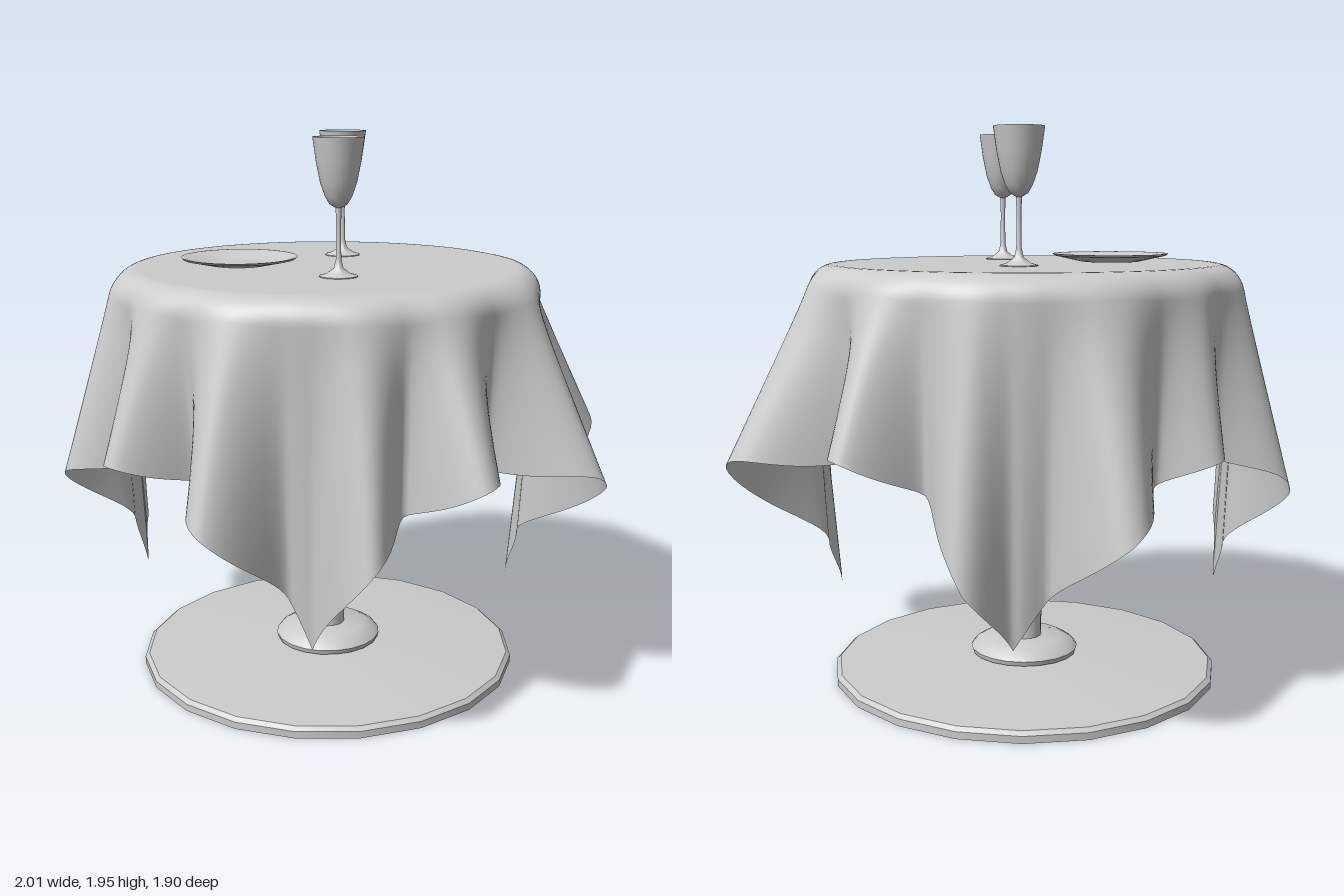
import * as THREE from 'three';
import { toCreasedNormals } from 'three/addons/utils/BufferGeometryUtils.js';

const TOP = 1.49;               // height of the cloth surface
const AXIS = [-0.05, -0.025];   // x, z of the table's axis
const RAD = Math.PI / 180;

const material = new THREE.MeshStandardMaterial({ color: 0xcccccc, side: THREE.DoubleSide });

function lathe(name, profile, segments, x, y, z, crease = 35) {
  const points = profile.map(([r, h]) => new THREE.Vector2(r, h));
  const geometry = toCreasedNormals(new THREE.LatheGeometry(points, segments), crease * RAD);
  const mesh = new THREE.Mesh(geometry, material);
  mesh.name = name;
  mesh.position.set(x, y, z);
  return mesh;
}

// Ridges, hollows and corners of the hem: direction in degrees (from +x towards +z),
// radius, and direction on the flat square cloth (corners at 45 + 90 n)
const HEM = [
  [-22, 0.67, -45], [-13, 0.71, -37], [3, 1.038, -24.6], [18, 0.73, -5], [33, 0.965, 12],
  [44, 0.74, 22], [55, 0.925, 33], [67, 0.725, 45], [73, 0.72, 51], [87, 0.96, 64],
  [100, 0.71, 78], [112, 0.925, 90], [124, 0.73, 102], [137, 0.94, 114], [151, 0.72, 127],
  [160, 0.70, 135], [167, 0.72, 140.5], [181, 0.937, 152], [195, 0.74, 171], [206, 0.855, 186],
  [217, 0.73, 198], [232, 0.95, 211], [246, 0.74, 220], [254, 0.775, 225], [263, 0.915, 232],
  [276, 0.74, 250], [288, 0.95, 263], [301, 0.72, 279], [317, 1.05, 294], [331, 0.71, 308.5],
  [338, 0.67, 315],
];

// Hem radius and cloth direction between two neighbouring stops
function hemAt(deg) {
  const i = Math.max(1, HEM.findIndex((stop) => stop[0] >= deg));
  const [d0, r0, m0] = HEM[i - 1], [d1, r1, m1] = HEM[i];
  const t = (deg - d0) / (d1 - d0);
  const high = Math.max(r0, r1), low = Math.min(r0, r1);
  const nearRidge = Math.cos((r0 > r1 ? t : 1 - t) * Math.PI / 2);
  return { radius: low + (high - low) * nearRidge ** 1.6, direction: m0 + (m1 - m0) * t };
}

// Square cloth draped over a round top, as rings of a polar grid
function clothGeometry() {
  const SEG = 360, TOP_RINGS = 5, BEND_RINGS = 10, HANG_RINGS = 24;
  const flat = 0.67, bend = 0.14, halfSide = 1.325;
  const rings = TOP_RINGS + BEND_RINGS + HANG_RINGS;
  const positions = [0, TOP, 0], index = [];

  for (let i = 0; i < SEG; i++) {
    const deg = HEM[0][0] + i;
    const a = deg * RAD;
    const { radius, direction } = hemAt(deg);
    // distance to the edge of the square along this direction
    const q = direction * RAD;
    const reach = halfSide / Math.max(Math.abs(Math.cos(q)), Math.abs(Math.sin(q)));
    const hang = reach - flat - bend;
    const edge = flat + (bend * 2) / Math.PI;
    const steep = Math.acos((radius - edge) / hang);
    let r = 0, y = TOP;
    for (let k = 1; k <= rings; k++) {
      const b = k - TOP_RINGS;
      const step = b <= 0 ? flat / TOP_RINGS : b <= BEND_RINGS ? bend / BEND_RINGS : hang / HANG_RINGS;
      const slope = b <= 0 ? 0 : steep * Math.min(1, (b - 0.5) / BEND_RINGS);
      r += Math.cos(slope) * step;
      y -= Math.sin(slope) * step;
      positions.push(r * Math.cos(a), y, r * Math.sin(a));
    }
  }
  const id = (i, k) => (k === 0 ? 0 : 1 + (i % SEG) * rings + k - 1);
  for (let i = 0; i < SEG; i++) {
    for (let k = 0; k < rings; k++) {
      if (k > 0) index.push(id(i, k), id(i + 1, k), id(i, k + 1));
      index.push(id(i + 1, k), id(i + 1, k + 1), id(i, k + 1));
    }
  }
  const geometry = new THREE.BufferGeometry();
  geometry.setAttribute('position', new THREE.Float32BufferAttribute(positions, 3));
  geometry.setIndex(index);
  geometry.computeVertexNormals();
  return geometry;
}

export function createModel() {
  const model = new THREE.Group();
  model.name = 'dressedTable';
  const [cx, cz] = AXIS;

  // Table: stepped base plate, foot ring, turned column, round top
  const table = new THREE.Group();
  table.name = 'table';
  table.add(
    lathe('basePlate', [[0, 0], [0.695, 0], [0.695, 0.025], [0.68, 0.038], [0.65, 0.04], [0.2, 0.062], [0, 0.062]], 20, cx, 0, cz, 20),
    lathe('footRing', [[0.16, 0.06], [0.19, 0.068], [0.195, 0.085], [0.18, 0.102], [0.14, 0.124], [0, 0.126]], 20, cx, 0, cz),
    lathe('column', [
      [0.062, 0.12], [0.065, 0.3], [0.062, 0.5], [0.055, 0.7], [0.052, 0.83],
      [0.075, 0.86], [0.09, 0.89], [0.085, 0.92], [0.068, 0.95],
      [0.075, 1.02], [0.095, 1.12], [0.105, 1.22], [0.105, 1.41],
    ], 16, cx, 0, cz, 60),
    lathe('tableTop', [[0, 1.40], [0.70, 1.40], [0.715, 1.42], [0.71, 1.45], [0.68, 1.475], [0, 1.475]], 40, cx, 0, cz),
  );
  model.add(table);

  // Tablecloth
  const cloth = new THREE.Mesh(clothGeometry(), material);
  cloth.name = 'tablecloth';
  cloth.position.set(cx, 0, cz);
  model.add(cloth);

  // Plate with a sunken centre and a raised rim
  model.add(lathe('plate', [
    [0, 0.002], [0.1, 0.002], [0.2, 0.024], [0.206, 0.031], [0.196, 0.031], [0.105, 0.008], [0, 0.008],
  ], 32, -0.32, TOP, 0.13, 10));

  // Wine glasses: foot, stem and hollow tapering bowl in one profile
  const glass = [
    [0, 0.001], [0.065, 0.001], [0.065, 0.004], [0.04, 0.011], [0.016, 0.03], [0.009, 0.06],
    [0.008, 0.17], [0.01, 0.228], [0.03, 0.24], [0.045, 0.265], [0.061, 0.31], [0.075, 0.38], [0.086, 0.458],
    [0.083, 0.458], [0.072, 0.38], [0.058, 0.31], [0.041, 0.268], [0.02, 0.245], [0, 0.236],
  ];
  model.add(lathe('backWineGlass', glass, 24, -0.115, TOP, -0.28, 50));
  model.add(lathe('frontWineGlass', glass, 24, 0.12, TOP, 0.225, 50));

  return model;
}
